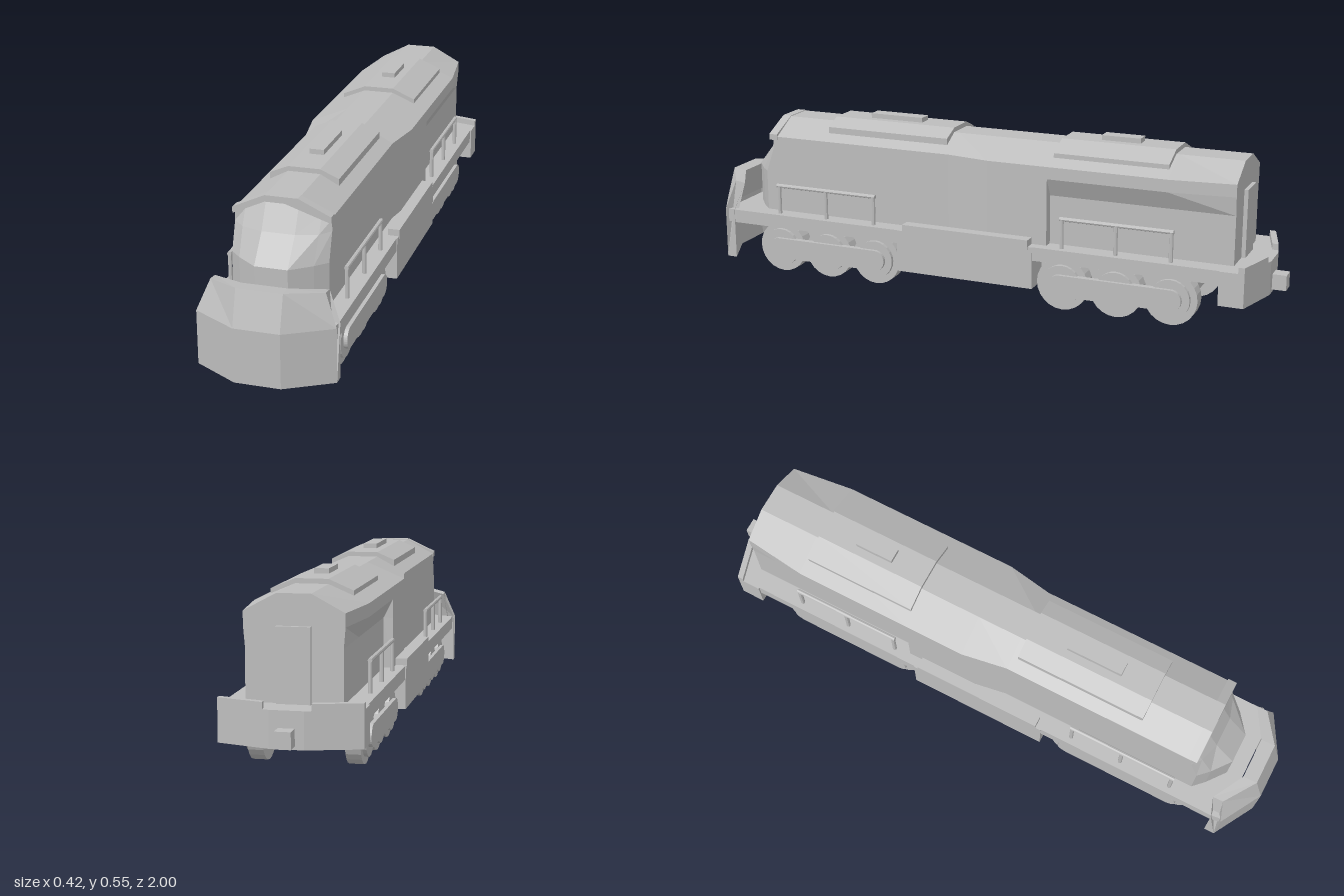
import * as THREE from 'three';

const paint = new THREE.MeshStandardMaterial({ color: 0xbdbdbd, flatShading: true });
paint.name = 'grey paint';

// Closed skin over loops of [x, y, z]; loops run counter-clockwise seen from outside the first one
function loft(loops) {
  const tri = [], n = loops[0].length;
  const last = loops[loops.length - 1];
  for (let s = 0; s < loops.length - 1; s++) {
    const a = loops[s], b = loops[s + 1];
    for (let i = 0; i < n; i++) {
      const j = (i + 1) % n;
      tri.push(a[i], b[i], a[j], a[j], b[i], b[j]);
    }
  }
  for (let i = 1; i < n - 1; i++) {
    tri.push(loops[0][0], loops[0][i], loops[0][i + 1]);
    tri.push(last[0], last[i + 1], last[i]);
  }
  const g = new THREE.BufferGeometry();
  g.setAttribute('position', new THREE.Float32BufferAttribute(tri.flat(), 3));
  g.computeVertexNormals();
  return g;
}

// Slab from a plan outline of [x, z] points, between two heights
function slab(points, y0, y1) {
  const shape = new THREE.Shape(points.map(([x, z]) => new THREE.Vector2(x, -z)));
  const g = new THREE.ExtrudeGeometry(shape, { depth: y1 - y0, bevelEnabled: false });
  return g.rotateX(-Math.PI / 2).translate(0, y0, 0);
}

function box(x0, x1, y0, y1, z0, z1) {
  return new THREE.BoxGeometry(x1 - x0, y1 - y0, z1 - z0)
    .translate((x0 + x1) / 2, (y0 + y1) / 2, (z0 + z1) / 2);
}

export function createModel() {
  const model = new THREE.Group();
  model.name = 'locomotive';
  const add = (name, geometry, parent = model) => {
    const m = new THREE.Mesh(geometry, paint);
    m.name = name;
    parent.add(m);
    return m;
  };

  // Underframe
  add('deck', slab([[-0.2, 0.92], [0.2, 0.92], [0.205, 0.88], [0.205, -0.9], [-0.205, -0.9], [-0.205, 0.88]], 0.165, 0.21));
  add('fuelTank', box(-0.208, 0.208, 0.07, 0.21, -0.22, 0.26));
  add('bogieFrame', box(-0.122, 0.122, 0.075, 0.17, -0.72, 0.76));

  // Hood: wide middle, overhanging upper wall towards the rear
  const hoodLoop = ([z, low, high]) => {
    const half = [[0.05, 0.522], [high, 0.47], [high, 0.43], [low, 0.37], [low, 0.2]];
    const left = half.map(([x, y]) => [-x, y, z]);
    return [...left, ...half.map(([x, y]) => [x, y, z]).reverse()];
  };
  add('hood', loft([
    [0.755, 0.147, 0.147], [0.1, 0.147, 0.147], [-0.05, 0.172, 0.172], [-0.255, 0.172, 0.172],
    [-0.256, 0.142, 0.172], [-0.65, 0.142, 0.172], [-0.86, 0.142, 0.147],
  ].map(hoodLoop)));
  add('rearDoor', box(-0.05, 0.05, 0.21, 0.43, -0.873, -0.855));

  // Roof visor over the windscreen
  const roofBand = (w, edge, ridge, t, z) => [
    [-0.05, ridge, z], [-w, edge, z], [-w, edge - t, z], [-0.05, ridge - t, z],
    [0.05, ridge - t, z], [w, edge - t, z], [w, edge, z], [0.05, ridge, z],
  ];
  add('visor', loft([0.77, 0.74].map(z => roofBand(0.149, 0.478, 0.524, 0.02, z))));

  // Cab nose with raked windscreen
  const noseLoop = half => [
    ...half.map(([x, y, z]) => [-x, y, z]),
    ...half.slice().reverse(),
  ];
  const noseLoops = [
    [[0.146, 0.465, 0.72], [0.146, 0.465, 0.745], [0.115, 0.475, 0.752], [0.05, 0.505, 0.757]],
    [[0.147, 0.43, 0.72], [0.147, 0.43, 0.755], [0.115, 0.425, 0.78], [0.05, 0.425, 0.80]],
    [[0.147, 0.345, 0.72], [0.147, 0.345, 0.785], [0.112, 0.345, 0.82], [0.05, 0.345, 0.868]],
    [[0.147, 0.2, 0.72], [0.147, 0.2, 0.785], [0.112, 0.2, 0.82], [0.05, 0.2, 0.868]],
  ].map(noseLoop);
  add('cabNose', loft(noseLoops));

  // Front shield, leaning back above the deck
  const end = [[0.21, 0.04, 0.92], [0.21, 0.04, 0.885], [0.21, 0.21, 0.885],
    [0.172, 0.3, 0.862], [0.172, 0.305, 0.897], [0.21, 0.21, 0.92]];
  const mid = [[0.07, 0.04, 1.0], [0.07, 0.04, 0.95], [0.07, 0.21, 0.95],
    [0.07, 0.315, 0.92], [0.07, 0.32, 0.967], [0.07, 0.21, 1.0]];
  const mirror = loop => loop.map(([x, y, z]) => [-x, y, z]);
  add('frontShield', loft([end, mid, mirror(mid), mirror(end)]));

  // Rear buffer beam and coupler
  add('rearBeam', slab([[-0.21, -0.83], [0.21, -0.83], [0.21, -0.91], [0.05, -0.955], [-0.05, -0.955], [-0.21, -0.91]], 0.1, 0.21));
  add('coupler', box(-0.024, 0.024, 0.11, 0.16, -1.0, -0.94));

  // Roof hatches with small vents
  for (const [name, w, z0, z1, v0, v1] of [
    ['frontHatch', 0.108, 0.12, 0.56, 0.25, 0.44],
    ['rearHatch', 0.125, -0.64, -0.26, -0.515, -0.385],
  ]) {
    const edge = 0.537 - (w - 0.05) * 0.43;
    add(name, loft([z1, z0].map(z => roofBand(w, edge, 0.537, 0.025, z))));
    add(name + 'Vent', box(-0.023, 0.023, 0.53, 0.553, v0, v1));
  }

  // Side parts
  for (const side of [-1, 1]) {
    const half = new THREE.Group();
    half.name = side > 0 ? 'leftSide' : 'rightSide';
    model.add(half);
    const sideBox = (name, x0, x1, ...rest) =>
      add(name, box(Math.min(side * x0, side * x1), Math.max(side * x0, side * x1), ...rest), half);
    sideBox('tankLip', 0.172, 0.21, 0.2, 0.232, -0.205, 0.24);

    // Raised lip on the rear beam
    const lip = [[0.07, -0.95], [0.21, -0.91], [0.21, -0.89], [0.07, -0.93]];
    add('beamLip', slab(lip.map(([x, z]) => [side * x, z]), 0.2, 0.23), half);

    for (const centre of [0.54, -0.49]) {
      // Wheels with raised hubs
      for (const dz of [-0.18, 0, 0.18]) {
        for (const [name, r, x, w] of [['wheel', 0.087, 0.145, 0.046], ['hub', 0.065, 0.172, 0.016]]) {
          const g = new THREE.CylinderGeometry(r, r, w, 24).rotateZ(Math.PI / 2);
          add(name, g, half).position.set(side * x, 0.087, centre + dz);
        }
      }
      // Rounded connecting frame
      const s = new THREE.Shape();
      s.absarc(0.185, 0, 0.035, -Math.PI / 2, Math.PI / 2);
      s.absarc(-0.185, 0, 0.035, Math.PI / 2, Math.PI * 1.5);
      const frame = new THREE.ExtrudeGeometry(s, { depth: 0.02, bevelEnabled: false, curveSegments: 8 })
        .rotateY(Math.PI / 2).translate(-0.01, 0, 0);
      add('wheelFrame', frame, half).position.set(side * 0.182, 0.087, centre);

      // Handrail
      for (const dz of [-0.18, 0, 0.18]) {
        const post = new THREE.CylinderGeometry(0.007, 0.007, 0.1, 8);
        add('railPost', post, half).position.set(side * 0.18, 0.257, centre + dz);
      }
      const rail = new THREE.CylinderGeometry(0.007, 0.007, 0.375, 8).rotateX(Math.PI / 2);
      add('handrail', rail, half).position.set(side * 0.18, 0.307, centre);
    }
  }
  return model;
}
